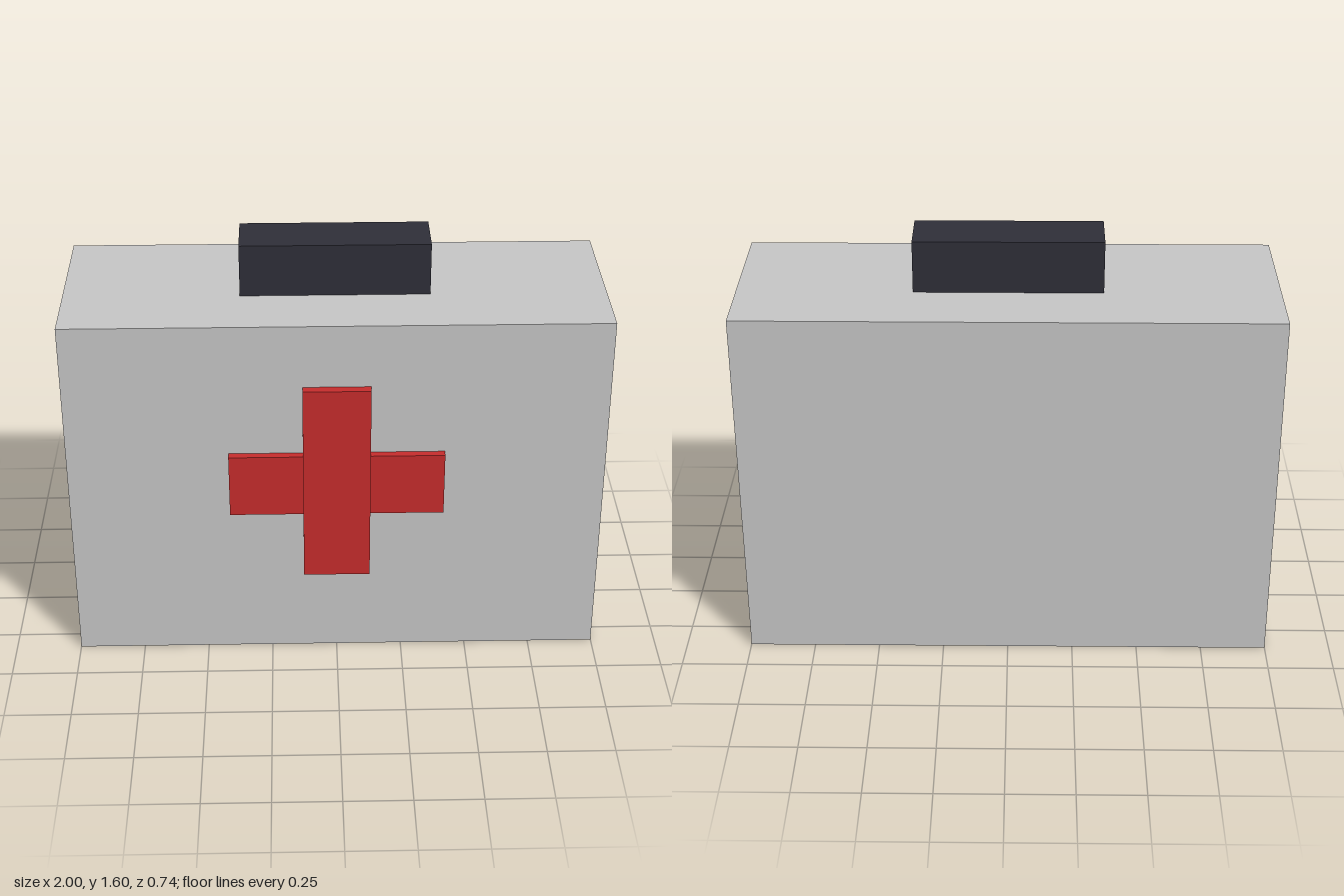
import * as THREE from 'three';

export function createModel() {
  const group = new THREE.Group();
  const material = (name, color) => {
    const m = new THREE.MeshStandardMaterial({ color });
    m.name = name;
    return m;
  };
  const grey = material('light grey', 0xc8c8c8);
  const dark = material('dark slate', 0x2f2f39);
  const red = material('red', 0xc82d2d);

  // Box placed by its centre x, bottom y and back z
  const box = (name, mat, [w, h, d], bottom, back) => {
    const mesh = new THREE.Mesh(new THREE.BoxGeometry(w, h, d), mat);
    mesh.name = name;
    mesh.position.set(0, bottom + h / 2, back + d / 2);
    group.add(mesh);
  };

  // Case body and the solid grip on top
  box('caseBody', grey, [2, 1.4, 0.7], 0, -0.3675);
  box('handle', dark, [0.7, 0.2, 0.2], 1.4, -0.1175);

  // Raised cross, its upright slightly proud of the crossbar
  box('crossUpright', red, [0.25, 0.8, 0.035], 0.353, 0.3325);
  box('crossBar', red, [0.8, 0.25, 0.03], 0.626, 0.3325);

  return group;
}
